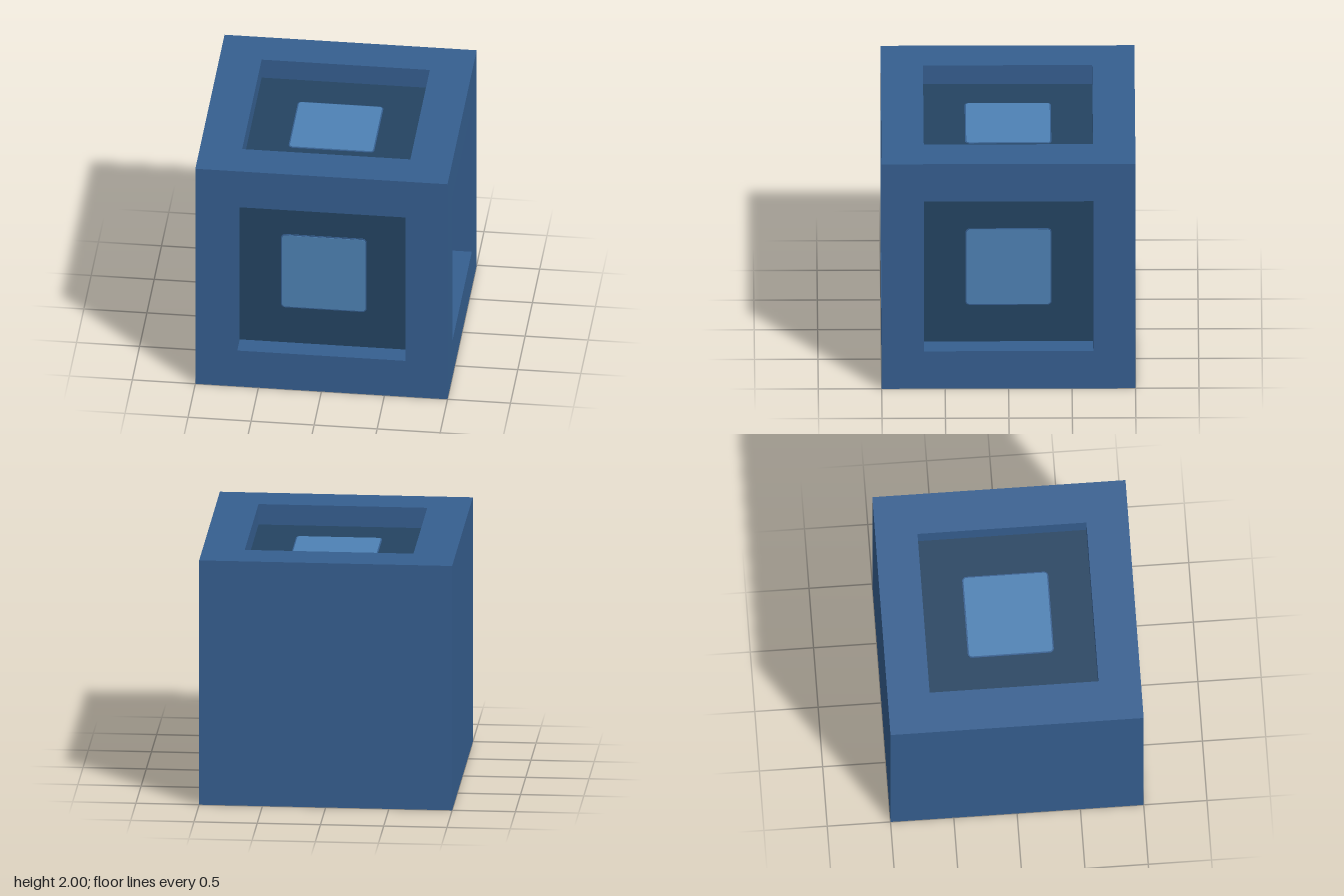
import * as THREE from 'three';

const HALF = 1, OPEN = 0.667, DEPTH = 0.167;

const mat = (name, hex) => {
  const m = new THREE.MeshStandardMaterial({ color: hex });
  m.name = name;
  return m;
};

function part(name, geometry, material) {
  const mesh = new THREE.Mesh(geometry, material);
  mesh.name = name;
  return mesh;
}

// Square outline with optional rounded corners
function square(h, r = 0, Type = THREE.Shape) {
  const s = new Type();
  if (!r) return s.setFromPoints([[-h, -h], [h, -h], [h, h], [-h, h], [-h, -h]].map(([x, y]) => new THREE.Vector2(x, y)));
  const c = h - r;
  s.moveTo(-c, -h);
  s.absarc(c, -c, r, -Math.PI / 2, 0, false);
  s.absarc(c, c, r, 0, Math.PI / 2, false);
  s.absarc(-c, c, r, Math.PI / 2, Math.PI, false);
  s.absarc(-c, -c, r, Math.PI, Math.PI * 1.5, false);
  return s;
}

// Thin rounded plate standing on local z = z0
function plate(h, r, z0, thickness) {
  return new THREE.ExtrudeGeometry(square(h, r), { depth: thickness, bevelEnabled: false, curveSegments: 6 })
    .translate(0, 0, z0);
}

// One windowed side of the cube, facing local +z
function recessedSide(name, m) {
  const g = new THREE.Group();
  g.name = name;
  const ring = square(HALF);
  ring.holes.push(square(OPEN, 0, THREE.Path));
  g.add(part('frame', new THREE.ShapeGeometry(ring).translate(0, 0, HALF), m.frame));

  // Four inner walls of the recess
  for (let i = 0; i < 4; i++) {
    const wall = new THREE.PlaneGeometry(OPEN * 2, DEPTH)
      .rotateX(Math.PI / 2)
      .translate(0, OPEN, HALF - DEPTH / 2)
      .rotateZ(i * Math.PI / 2);
    g.add(part('recessWall', wall, m.frame));
  }

  // Dark floor with the rimmed light panel
  const floorZ = HALF - DEPTH;
  g.add(part('recessFloor', new THREE.PlaneGeometry(OPEN * 2, OPEN * 2).translate(0, 0, floorZ), m.floor));
  g.add(part('panelRim', plate(0.34, 0.035, floorZ, 0.004), m.frame));
  g.add(part('panel', plate(0.33, 0.025, floorZ, 0.008), m.panel));
  return g;
}

export function createModel() {
  const m = {
    frame: mat('frame blue', 0x365f90),
    floor: mat('dark blue', 0x244462),
    panel: mat('light blue', 0x4e82b5),
  };
  const model = new THREE.Group();
  model.name = 'windowedCube';

  // Side name, rotation x, rotation y, recessed or plain
  const sides = [
    ['frontSide', 0, 0, true],
    ['leftSide', 0, Math.PI / 2, true],
    ['topSide', -Math.PI / 2, 0, true],
    ['backSide', 0, Math.PI, false],
    ['rightSide', 0, -Math.PI / 2, false],
    ['bottomSide', Math.PI / 2, 0, false],
  ];
  for (const [name, rx, ry, recessed] of sides) {
    const side = recessed
      ? recessedSide(name, m)
      : part(name, new THREE.PlaneGeometry(2, 2).translate(0, 0, HALF), m.frame);
    side.rotation.set(rx, ry, 0);
    side.position.y = 1;
    model.add(side);
  }
  return model;
}
